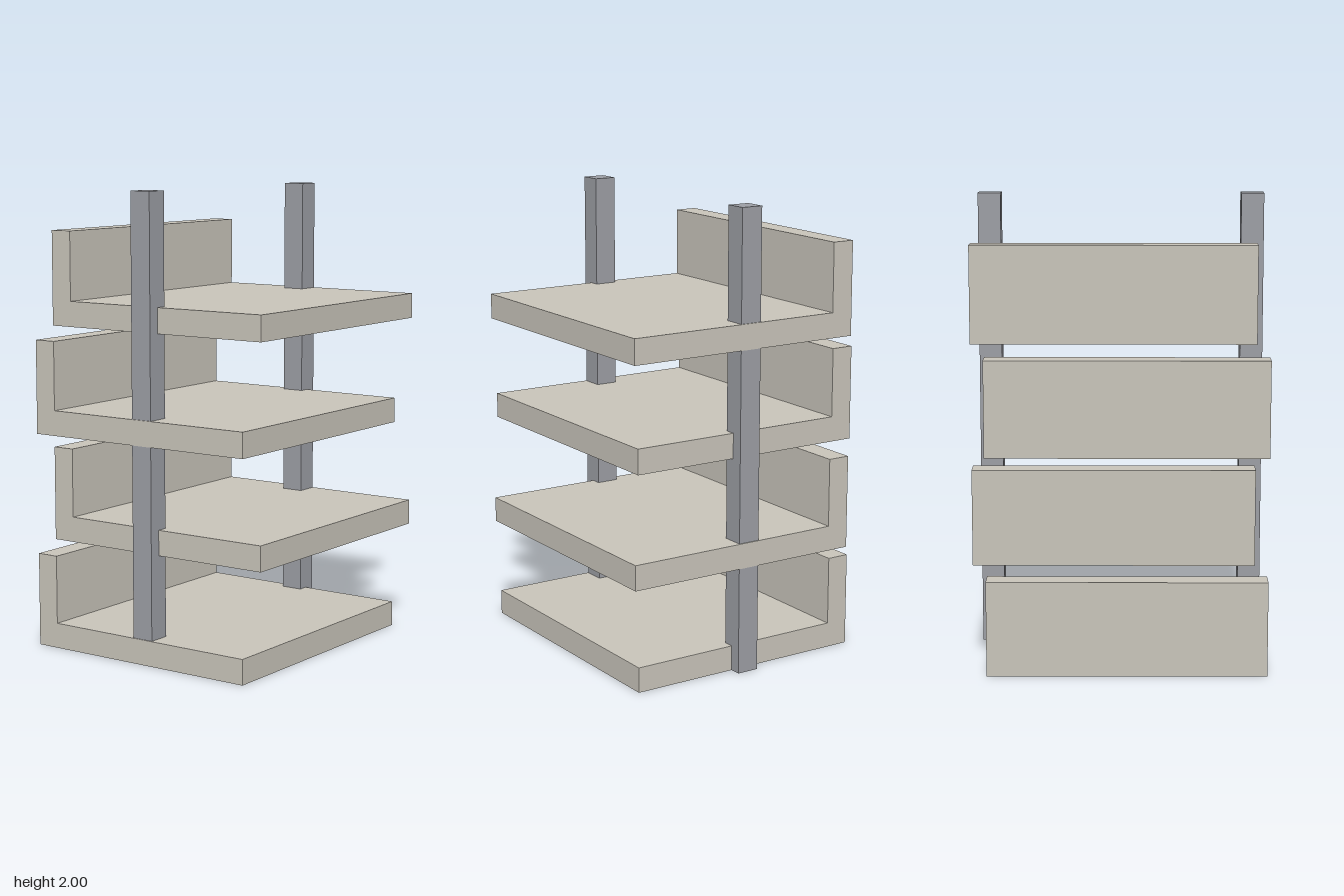
import * as THREE from 'three';

const LEVELS = 4;
const STEP = 0.47;
const WIDTH = 1.187;

export function createModel() {
  const model = new THREE.Group();
  model.name = 'tieredTower';

  const concrete = new THREE.MeshStandardMaterial({ color: 0xc8c4ba });
  concrete.name = 'warm concrete';
  const steel = new THREE.MeshStandardMaterial({ color: 0x9c9ea4 });
  steel.name = 'grey steel';

  // L-shaped section of one tier: floor slab with an upright back wall
  const section = new THREE.Shape([
    [-0.545, 0], [0.545, 0], [0.545, 0.41], [0.445, 0.41], [0.445, 0.11], [-0.545, 0.11],
  ].map(([x, y]) => new THREE.Vector2(x, y)));
  const tierGeometry = new THREE.ExtrudeGeometry(section, { depth: WIDTH, bevelEnabled: false });
  tierGeometry.translate(0, 0, -WIDTH / 2);
  tierGeometry.rotateY(Math.PI / 2); // section runs front to back, extrusion runs across

  // Tiers alternate between two diagonal offsets
  for (let i = 0; i < LEVELS; i++) {
    const side = i % 2 ? 1 : -1;
    const tier = new THREE.Mesh(tierGeometry, concrete);
    tier.name = `tier${i + 1}`;
    tier.position.set(side * 0.028, i * STEP, side * 0.025);
    model.add(tier);
  }

  // Posts run through both sides of the tiers, just clear of the underside
  const postGeometry = new THREE.BoxGeometry(0.098, 1.999, 0.098);
  for (const side of [-1, 1]) {
    const post = new THREE.Mesh(postGeometry, steel);
    post.name = side > 0 ? 'leftPost' : 'rightPost';
    post.position.set(side * 0.568, 1.0005, 0);
    model.add(post);
  }

  return model;
}
